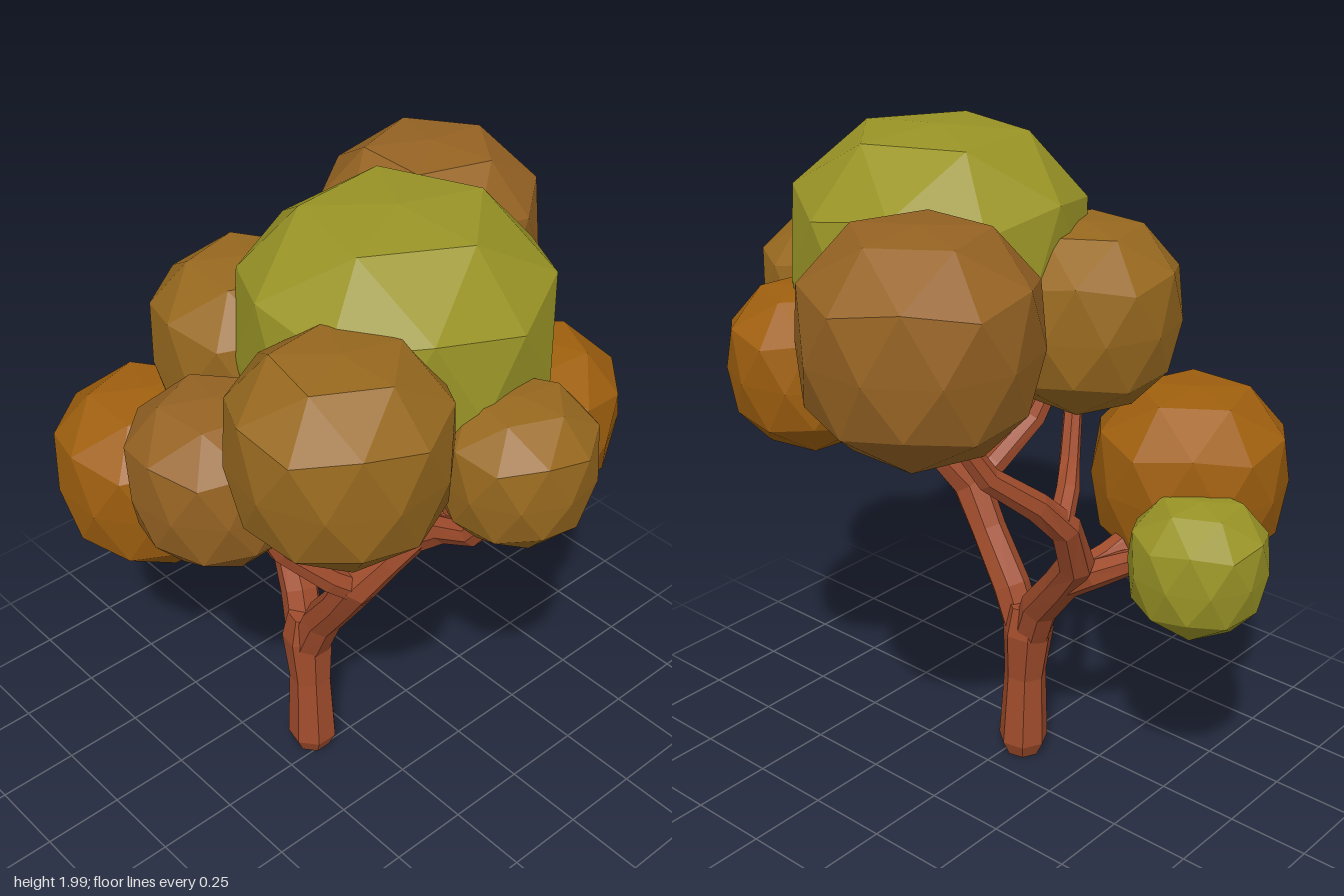
import * as THREE from 'three';

const bark = new THREE.MeshStandardMaterial({ color: 0xa04c2c, flatShading: true });
const leaf = (color) => new THREE.MeshStandardMaterial({ color, flatShading: true });
const green = leaf(0x9a9426), orange = leaf(0xa0600f), brown = leaf(0x98691f), tan = leaf(0x966323);

// Faceted limb through rings given as [x, y, z, radius], capped at both ends
function limb(name, rings, sides = 7) {
  const centres = rings.map(([x, y, z]) => new THREE.Vector3(x, y, z));
  const pos = [], index = [];
  rings.forEach((ring, i) => {
    const t = centres[Math.min(i + 1, rings.length - 1)].clone()
      .sub(centres[Math.max(i - 1, 0)]).normalize();
    const u = new THREE.Vector3(0, 0, 1).cross(t).normalize();
    const v = t.clone().cross(u);
    for (let j = 0; j < sides; j++) {
      const a = (j / sides) * Math.PI * 2;
      const p = centres[i].clone()
        .addScaledVector(u, Math.cos(a) * ring[3])
        .addScaledVector(v, Math.sin(a) * ring[3]);
      pos.push(p.x, p.y, p.z);
    }
  });
  const last = (rings.length - 1) * sides, c0 = rings.length * sides, c1 = c0 + 1;
  pos.push(...centres[0].toArray(), ...centres[centres.length - 1].toArray());
  for (let j = 0; j < sides; j++) {
    const k = (j + 1) % sides;
    for (let r = 0; r < last; r += sides) {
      index.push(r + j, r + k, r + sides + k, r + j, r + sides + k, r + sides + j);
    }
    index.push(c0, k, j, c1, last + j, last + k);
  }
  const indexed = new THREE.BufferGeometry();
  indexed.setAttribute('position', new THREE.Float32BufferAttribute(pos, 3));
  indexed.setIndex(index);
  const geo = indexed.toNonIndexed();
  geo.computeVertexNormals();
  const mesh = new THREE.Mesh(geo, bark);
  mesh.name = name;
  return mesh;
}

// Foliage clump: faceted ball with square shoulders above and a rounder underside
function clump(name, material, [x, y, z], [r, h], turn) {
  const geo = new THREE.IcosahedronGeometry(1, 1);
  geo.rotateZ(-Math.atan(2 / (1 + Math.sqrt(5))));
  const p = geo.attributes.position;
  for (let i = 0; i < p.count; i++) {
    const v = new THREE.Vector3().fromBufferAttribute(p, i).normalize();
    const e = v.y > 0 ? 3.4 : 2.4;
    const n = Math.pow(Math.pow(Math.hypot(v.x, v.z), e) + Math.pow(Math.abs(v.y), e), 1 / e);
    v.divideScalar(n);
    p.setXYZ(i, v.x * r, v.y * h, v.z * r);
  }
  geo.rotateY(turn);
  geo.computeVertexNormals();
  const mesh = new THREE.Mesh(geo, material);
  mesh.name = name;
  mesh.position.set(x, y, z);
  return mesh;
}

export function createModel() {
  const tree = new THREE.Group();
  tree.name = 'tree';

  // Trunk and the limbs growing out of it
  const wood = new THREE.Group();
  wood.name = 'trunkAndBranches';
  wood.add(
    limb('trunk', [[-0.04, 0.01, 0.125, 0.055], [-0.04, 0.06, 0.125, 0.078], [-0.045, 0.3, 0.125, 0.066],
      [-0.06, 0.46, 0.12, 0.08], [-0.06, 0.55, 0.12, 0.06]]),
    limb('leftLimb', [[-0.05, 0.42, 0.125, 0.06], [0.02, 0.58, 0.13, 0.06], [0.13, 0.73, 0.15, 0.056],
      [0.21, 0.86, 0.16, 0.062], [0.27, 0.96, 0.1, 0.052], [0.33, 1.08, 0.01, 0.052],
      [0.36, 1.12, -0.03, 0.04]]),
    limb('rightLimb', [[-0.06, 0.42, 0.125, 0.06], [-0.13, 0.58, 0.09, 0.06], [-0.25, 0.72, 0.04, 0.056],
      [-0.33, 0.83, 0, 0.054], [-0.35, 0.98, -0.08, 0.048], [-0.32, 1.07, -0.17, 0.042],
      [-0.26, 1.18, -0.3, 0.036], [-0.2, 1.36, -0.4, 0.03]]),
    limb('frontBranch', [[0.22, 0.83, 0.14, 0.045], [0.18, 0.91, 0.24, 0.042], [0.12, 1.04, 0.36, 0.036],
      [0.07, 1.25, 0.45, 0.028]]),
    limb('outerLeftBranch', [[0.32, 1.03, 0.03, 0.042], [0.4, 1.1, 0.02, 0.04], [0.51, 1.15, 0.02, 0.034],
      [0.62, 1.3, 0.02, 0.028]]),
    limb('backLeftBranch', [[0.32, 1.03, 0.03, 0.042], [0.34, 1.11, -0.06, 0.04], [0.37, 1.16, -0.16, 0.034],
      [0.4, 1.3, -0.26, 0.028]]),
    limb('innerRightBranch', [[-0.35, 1.0, -0.1, 0.036], [-0.31, 1.06, -0.02, 0.034], [-0.26, 1.12, 0.05, 0.03],
      [-0.21, 1.32, 0.13, 0.025]]),
    limb('outerRightBranch', [[-0.26, 0.72, 0.04, 0.045], [-0.36, 0.79, 0.05, 0.046], [-0.45, 0.84, 0.09, 0.038],
      [-0.58, 0.9, 0.13, 0.03]]),
    limb('lowFrontBranch', [[-0.3, 0.77, 0.02, 0.042], [-0.37, 0.83, 0.1, 0.042], [-0.43, 0.92, 0.24, 0.035]])
  );

  // Foliage
  const foliage = new THREE.Group();
  foliage.name = 'foliage';
  foliage.add(
    clump('crownClump', green, [0.19, 1.6, 0.01], [0.425, 0.4], 0.1),
    clump('backClump', tan, [-0.17, 1.58, -0.455], [0.32, 0.31], 0.3),
    clump('backLeftClump', orange, [0.4, 1.335, -0.3], [0.24, 0.237], 0.5),
    clump('leftClump', brown, [0.63, 1.445, 0.005], [0.21, 0.207], 0.2),
    clump('frontLeftClump', brown, [0.435, 1.58, 0.42], [0.285, 0.28], 0.1),
    clump('frontClump', tan, [0.075, 1.36, 0.525], [0.237, 0.24], 0.4),
    clump('innerRightClump', brown, [-0.19, 1.49, 0.19], [0.275, 0.27], 0.25),
    clump('lowRightClump', orange, [-0.45, 1.01, 0.37], [0.285, 0.28], 0.3),
    clump('outerRightClump', green, [-0.65, 0.88, 0.135], [0.197, 0.197], 0.15)
  );

  tree.add(wood, foliage);
  return tree;
}
